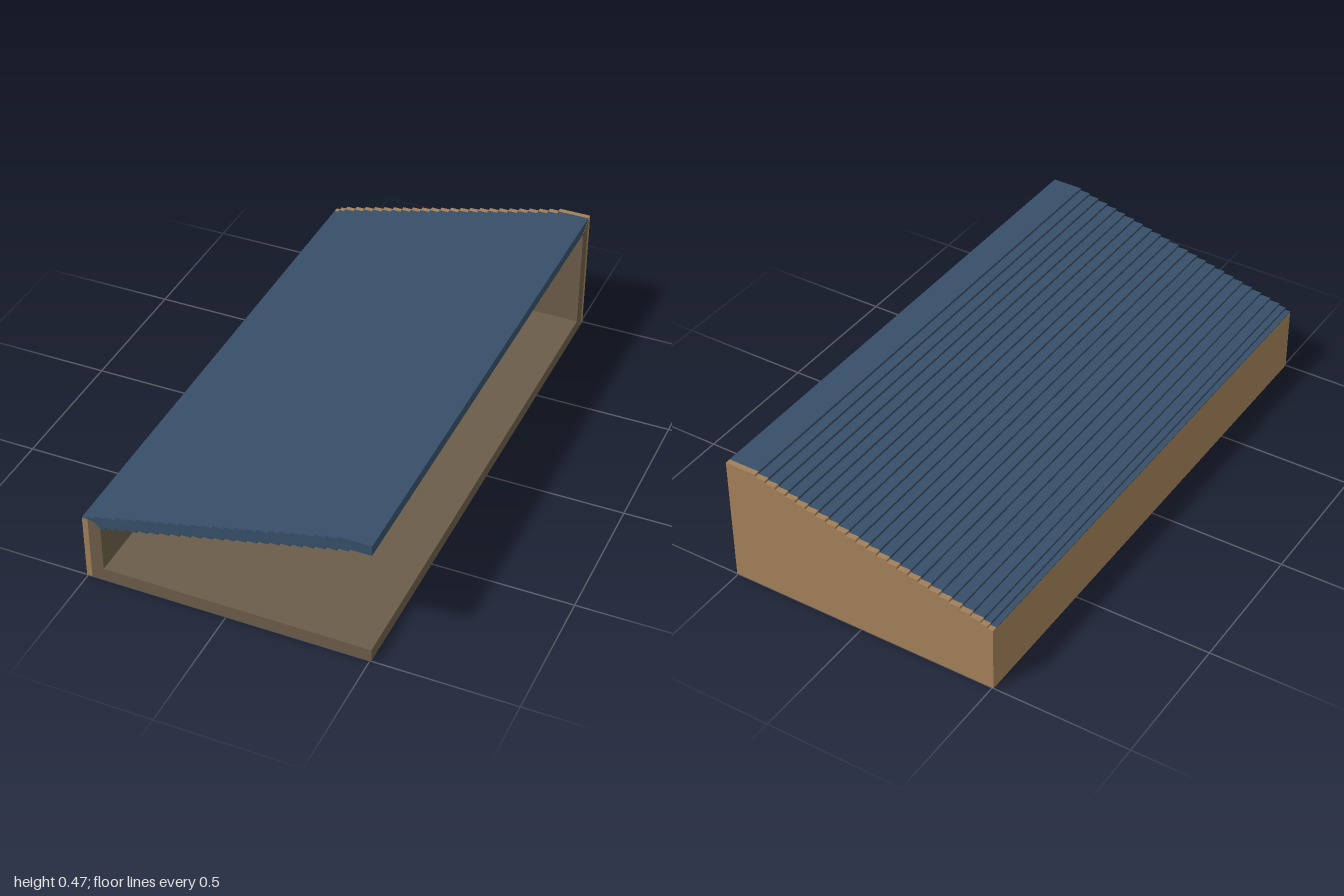
import * as THREE from 'three';

const W = 0.505;        // half width
const SKIN = 0.02;      // cladding thickness
const STEPS = 23;       // risers in the roof
const RUN = 0.0386, RISE = 0.0095;

// Staircase points rising towards +x; the first riser stands at x0
function stairs(x0, y0, firstX) {
  const pts = [[firstX, y0]];
  for (let i = 0; i < STEPS; i++) {
    const x = x0 + i * RUN;
    pts.push([x, y0 + i * RISE], [x, y0 + (i + 1) * RISE]);
  }
  pts.push([W, y0 + STEPS * RISE]);
  return pts;
}

export function createModel() {
  const group = new THREE.Group();
  const cladding = new THREE.MeshStandardMaterial({ color: 0xa07f57 });
  cladding.name = 'light wood cladding';
  const frame = new THREE.MeshStandardMaterial({ color: 0x6b5c49 });
  frame.name = 'dark wood frame';
  const tiles = new THREE.MeshStandardMaterial({ color: 0x364f68 });
  tiles.name = 'blue roofing';

  // Extrudes an x-y outline from z0 to z1
  function prism(name, material, pts, z0, z1) {
    const shape = new THREE.Shape(pts.map(([x, y]) => new THREE.Vector2(x, y)));
    const geo = new THREE.ExtrudeGeometry(shape, { depth: z1 - z0, bevelEnabled: false });
    geo.translate(0, 0, z0);
    const mesh = new THREE.Mesh(geo, material);
    mesh.name = name;
    group.add(mesh);
    return mesh;
  }

  const topLine = stairs(-W + SKIN + 0.025, 0.2545, -W + SKIN);
  const underLine = stairs(-0.422, 0.217, -0.44);
  const eave = [[-0.44, 0.217], [-0.46, 0.237], [-0.485, 0.244]];
  const inner = -W + SKIN, back = -1 + SKIN;

  // Floor slab
  prism('floor', frame, [[inner, 0], [W, 0], [W, 0.047], [inner, 0.047]], back, 1);

  // Low side wall, sloped where it meets the roof
  prism('sideWall', frame, [[inner, 0.047], [-0.44, 0.047], ...eave], back, 1);
  prism('sideCladding', cladding, [[-W, 0], [inner, 0], [inner, 0.242], [-W, 0.242]], back, 1);

  // Back wall under the roof, with its outer cladding up to the roof surface
  prism('backWall', frame, [[-0.44, 0.047], [W, 0.047], ...underLine.slice().reverse()], back, -0.93);
  prism('backCladding', cladding,
    [[-W, 0], [W, 0], ...topLine.slice().reverse(), [inner, 0.245], [-W, 0.245]], -1, back);

  // Stepped roof slab and the thin flashing over the side cladding
  prism('roof', tiles,
    [...underLine, ...topLine.slice().reverse(), [-0.485, 0.244], [-0.46, 0.237]], back, 1);
  prism('eaveFlashing', tiles, [[-W, 0.242], [inner, 0.242], [inner, 0.245], [-W, 0.245]], back, 1);

  // Slanted wall head showing at the open end of the back wall
  const head = prism('wallHead', frame,
    [[0.93, 0.4355], [0.98, 0.4355], [0.98, 0.472], [0.965, 0.457], [0.94, 0.447]], 0, 0.002);
  head.rotation.y = Math.PI / 2;
  head.position.x = W - 0.001;

  return group;
}
